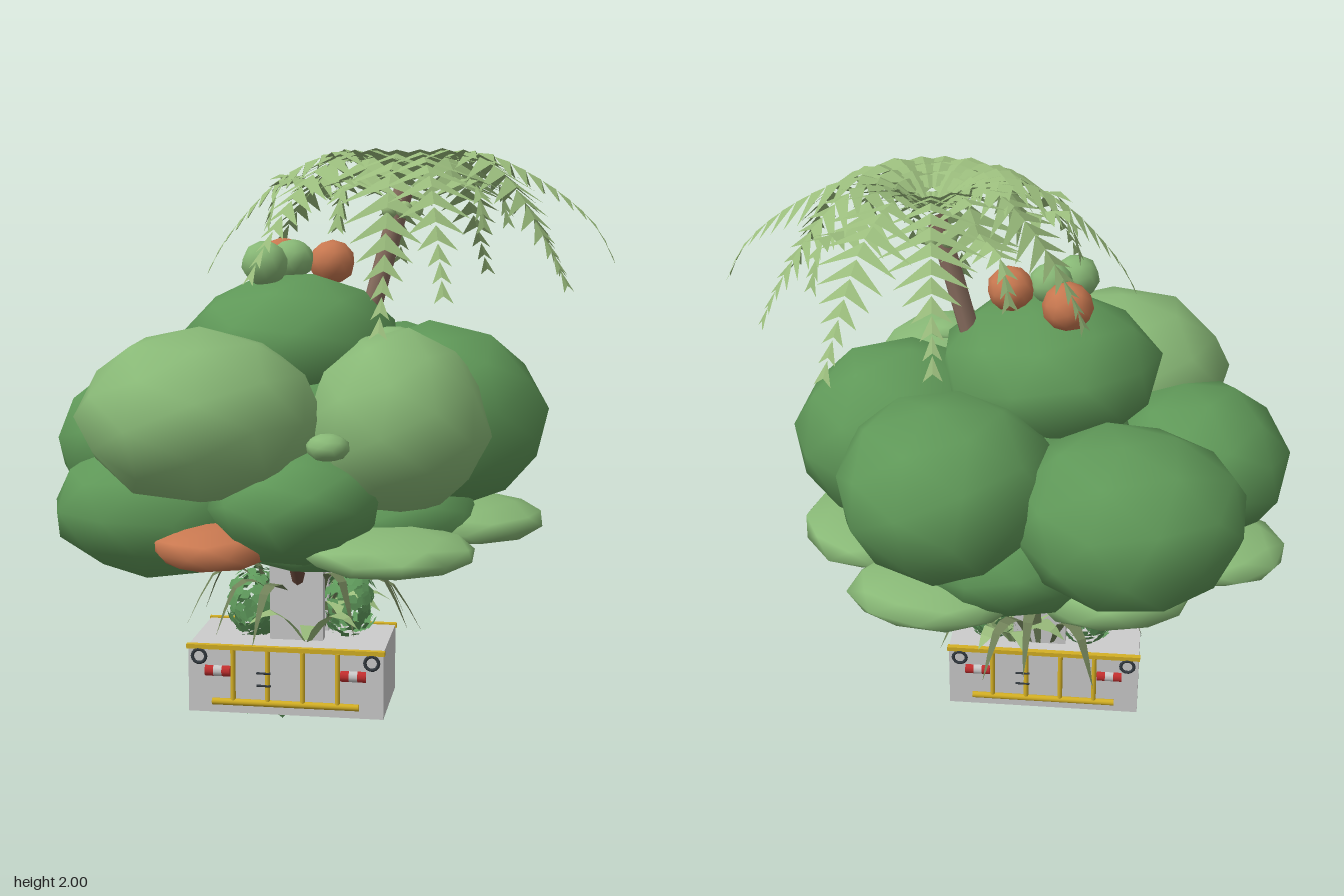
import * as THREE from 'three';
import { mergeVertices } from 'three/addons/utils/BufferGeometryUtils.js';

const V = (x, y, z) => new THREE.Vector3(x, y, z);
const mat = (color, side = THREE.FrontSide) => new THREE.MeshStandardMaterial({ color, side });

let seed = 7;
const rand = () => (seed = (seed * 16807) % 2147483647) / 2147483647;

function add(parent, name, geometry, material, x = 0, y = 0, z = 0) {
  const mesh = new THREE.Mesh(geometry, material);
  mesh.name = name;
  mesh.position.set(x, y, z);
  parent.add(mesh);
  return mesh;
}

// Smooth, slightly uneven low-poly ellipsoid
function blobGeometry(rx, ry, rz) {
  let g = new THREE.IcosahedronGeometry(1, 1);
  g.deleteAttribute('normal');
  g.deleteAttribute('uv');
  g = mergeVertices(g);
  g.rotateX(rand() * 3);
  g.rotateY(rand() * 3);
  const p = g.attributes.position;
  for (let i = 0; i < p.count; i++) {
    const s = 0.98 + rand() * 0.06;
    p.setXYZ(i, p.getX(i) * s * rx, p.getY(i) * s * ry, p.getZ(i) * s * rz);
  }
  g.computeVertexNormals();
  return g;
}

function trianglesGeometry(points) {
  const g = new THREE.BufferGeometry().setFromPoints(points);
  g.computeVertexNormals();
  return g;
}

// Pointed leaf strip along a curve
function bladeGeometry(curve, width, n = 7) {
  const tri = [];
  const edge = (t) => {
    const p = curve.getPoint(t), d = curve.getTangent(t);
    const side = V(-d.z, 0, d.x).normalize().multiplyScalar(width * Math.sin(Math.PI * (0.12 + 0.88 * t)));
    return [p.clone().add(side), p.clone().sub(side)];
  };
  for (let i = 0; i < n; i++) {
    const [a, b] = edge(i / n), [c, d] = edge((i + 1) / n);
    tri.push(a, b, c, b, d, c);
  }
  return trianglesGeometry(tri);
}

function tube(points, r, sides = 8) {
  return new THREE.TubeGeometry(new THREE.CatmullRomCurve3(points), 10, r, sides);
}

// Palm frond along +x: pairs of broad triangular leaflets, narrowing to the tip
function frondGeometry(reach, tipY) {
  const arc = new THREE.CatmullRomCurve3([V(0.02, 1.90, 0), V(0.12, 1.97, 0), V(0.24, 1.99, 0),
    V(0.62 * reach, 1.91, 0), V(0.88 * reach, tipY + 0.13, 0), V(reach, tipY, 0)]);
  const tri = [], pairs = 14;
  for (let i = 0; i < pairs; i++) {
    const t = i / pairs;
    const p = arc.getPointAt(t), d = arc.getTangentAt(t);
    const q = p.clone().addScaledVector(d, 0.055);
    const w = t < 0.4 ? 0.07 + 0.28 * t : Math.max(0.03, 0.18 - 0.37 * (t - 0.4));
    for (const s of [-1, 1]) {
      const tip = p.clone().addScaledVector(d, 0.07).add(V(0, -0.3 * w, s * w));
      tri.push(p, s > 0 ? tip : q, s > 0 ? q : tip);
    }
  }
  return trianglesGeometry(tri);
}

export function createModel() {
  const model = new THREE.Group();
  model.name = 'plantedTree';
  const M = {
    dark: mat(0x5f9858), light: mat(0x88b876), clay: mat(0xc87850), bark: mat(0x8a6f60),
    root: mat(0x6b4a3c), gold: mat(0xd4b024), grey: mat(0xcccccc), red: mat(0xc42f2f),
    black: mat(0x333a40), frond: mat(0x9abc7c, THREE.DoubleSide),
    leaf: mat(0x5f9a5c, THREE.DoubleSide), blade: mat(0x6f8058, THREE.DoubleSide),
  };

  // Canopy: [material, centre, radii]
  const canopy = new THREE.Group();
  canopy.name = 'canopy';
  model.add(canopy);
  const blobs = [
    ['light', -0.36, 1.14, 0.46, 0.40, 0.285, 0.39],
    ['light', 0.26, 1.10, 0.25, 0.31, 0.31, 0.36],
    ['dark', 0.37, 1.09, -0.04, 0.38, 0.32, 0.37],
    ['dark', 0.17, 1.09, -0.43, 0.37, 0.30, 0.38],
    ['dark', -0.43, 1.04, -0.49, 0.385, 0.29, 0.37],
    ['dark', -0.65, 1.00, 0.02, 0.32, 0.26, 0.35],
    ['dark', -0.54, 0.80, 0.24, 0.39, 0.24, 0.35],
    ['dark', -0.06, 0.86, 0.42, 0.29, 0.20, 0.30],
    ['dark', -0.13, 1.33, 0.01, 0.38, 0.26, 0.39],
    ['dark', 0.00, 1.05, 0.00, 0.45, 0.32, 0.45],
    ['dark', 0.22, 0.76, 0.08, 0.30, 0.18, 0.32],
    ['dark', -0.04, 0.85, -0.41, 0.31, 0.21, 0.29],
    ['dark', -0.05, 0.70, 0.18, 0.26, 0.12, 0.26],
    ['dark', -0.05, 0.70, -0.25, 0.24, 0.11, 0.22],
    ['light', 0.08, 1.07, 0.60, 0.07, 0.045, 0.06],
    ['light', 0.24, 1.38, 0.20, 0.08, 0.04, 0.08],
  ];
  for (const [m, x, y, z, a, b, c] of blobs) add(canopy, 'foliageClump', blobGeometry(a, b, c), M[m], x, y, z);

  // Flat shelves around the lower edge of the canopy
  const pads = [
    ['light', 0.25, 0.71, 0.44, 0.29, 0.07, 0.28], ['light', 0.46, 0.73, -0.05, 0.28, 0.075, 0.33],
    ['light', 0.20, 0.73, -0.49, 0.30, 0.08, 0.23], ['light', -0.72, 0.71, -0.08, 0.25, 0.07, 0.26],
    ['light', -0.37, 0.71, -0.37, 0.29, 0.10, 0.26], ['clay', -0.31, 0.72, 0.47, 0.21, 0.08, 0.23],
  ];
  for (const [m, x, y, z, a, b, c] of pads) add(canopy, 'foliageShelf', blobGeometry(a, b, c), M[m], x, y, z);

  // Round fruit on the crown
  const fruit = [
    ['light', -0.21, 1.62, 0.12, 0.08], ['light', -0.13, 1.63, 0.03, 0.075],
    ['clay', 0, 1.62, -0.01, 0.08], ['clay', -0.20, 1.62, -0.15, 0.085],
  ];
  for (const [m, x, y, z, r] of fruit) add(canopy, 'crownFruit', blobGeometry(r, r * 0.95, r), M[m], x, y, z);

  // Palm
  const palm = new THREE.Group();
  palm.name = 'palm';
  model.add(palm);
  add(palm, 'palmTrunk', tube([V(0.11, 1.35, -0.02), V(0.17, 1.58, -0.02), V(0.25, 1.88, -0.02)], 0.034), M.bark);
  for (let i = 0; i < 5; i++) {
    const a = i * Math.PI * 0.4;
    add(palm, 'coconut', new THREE.SphereGeometry(0.03, 8, 6), M.frond, 0.24 + 0.045 * Math.cos(a), 1.8, -0.02 + 0.045 * Math.sin(a));
  }
  // Fronds: [angle from +x towards +z in degrees, reach, tip height]
  const fronds = [
    [0, 0.70, 1.64], [32, 0.65, 1.56], [75, 0.70, 1.54], [92, 0.64, 1.42], [133, 0.67, 1.58],
    [170, 0.68, 1.6], [206, 0.58, 1.6], [262, 0.69, 1.6], [290, 0.71, 1.56], [333, 0.59, 1.58],
    [54, 0.48, 1.76], [112, 0.48, 1.76], [152, 0.50, 1.76], [188, 0.50, 1.78], [235, 0.52, 1.74], [311, 0.50, 1.76],
  ];
  for (const [angle, reach, tipY] of fronds) {
    add(palm, 'palmFrond', frondGeometry(reach, tipY), M.frond, 0.26, 0, -0.02).rotation.y = -angle * Math.PI / 180;
  }

  // Planter box
  const planter = new THREE.Group();
  planter.name = 'planter';
  planter.position.set(-0.135, 0, 0);
  model.add(planter);
  add(planter, 'planterBox', new THREE.BoxGeometry(0.69, 0.24, 0.37), M.grey, 0, 0.17, 0);
  add(planter, 'baseStrip', new THREE.BoxGeometry(0.55, 0.006, 0.012), M.black, 0, 0.048, -0.14);

  // Rails and fittings, same on the front and the back
  for (const turn of [0, Math.PI]) {
    const face = new THREE.Group();
    face.name = 'planterFittings';
    face.rotation.y = turn;
    planter.add(face);
    const rail = (name, len, r, x, y, z, m, across) => {
      const mesh = add(face, name, new THREE.CylinderGeometry(r, r, len, 10), m, x, y, z);
      if (across) mesh.rotation.z = Math.PI / 2;
    };
    add(face, 'topRail', new THREE.BoxGeometry(0.70, 0.016, 0.02), M.gold, 0, 0.287, 0.185);
    rail('bottomRail', 0.52, 0.012, 0, 0.09, 0.188, M.gold, true);
    for (const x of [-0.185, -0.062, 0.062, 0.185]) rail('uprightBar', 0.19, 0.009, x, 0.185, 0.188, M.gold);
    for (const s of [-1, 1]) {
      [M.red, M.grey, M.red].forEach((m, i) => rail('lampBand', 0.03, 0.021, s * 0.24 + (i - 1) * 0.03, 0.2, 0.178, m, true));
      add(face, 'ring', new THREE.TorusGeometry(0.024, 0.006, 6, 14), M.black, s * 0.305, 0.253, 0.193);
    }
    for (const y of [0.155, 0.2]) rail('hook', 0.05, 0.004, -0.075, y, 0.195, M.black, true);
  }

  // Concrete column and the branches growing out of it
  add(model, 'columnFlange', new THREE.BoxGeometry(0.19, 0.35, 0.05), M.grey, -0.115, 0.42, 0.045);
  add(model, 'columnFlange', new THREE.BoxGeometry(0.19, 0.35, 0.06), M.grey, -0.115, 0.42, -0.095);
  add(model, 'columnWeb', new THREE.BoxGeometry(0.06, 0.35, 0.1), M.grey, -0.115, 0.42, -0.02);
  const branches = [
    [V(-0.11, 0.48, 0.03), V(-0.11, 0.55, 0.085), V(-0.12, 0.70, 0.19)],
    [V(-0.1, 0.48, -0.04), V(-0.02, 0.56, -0.04), V(0.08, 0.72, -0.06)],
  ];
  for (const b of branches) add(model, 'branch', tube(b, 0.026), M.root);

  // Arching blades over the planter
  for (let i = 0; i < 11; i++) {
    const a = i * 2.4, len = 0.26 + rand() * 0.17, up = 0.14 + rand() * 0.1;
    const at = (k, y) => V(-0.12 + Math.cos(a) * (0.09 + len * k), y, -0.07 + Math.sin(a) * (0.07 + len * k * 0.8));
    const curve = new THREE.CatmullRomCurve3([at(0, 0.3), at(0.3, 0.3 + up), at(0.65, 0.31 + up), at(1, 0.2 + up * 0.6)]);
    add(model, 'archingBlade', bladeGeometry(curve, 0.024), M.blade);
  }

  // Broad-leaved rosettes: [x, z, leaf count]
  for (const [x, z, n] of [[-0.02, -0.13, 8], [-0.07, 0.11, 3]]) {
    for (let i = 0; i < n; i++) {
      const a = i * Math.PI * 2 / n + 0.5;
      const at = (r, y) => V(x + Math.cos(a) * r, y, z + Math.sin(a) * r);
      const curve = new THREE.CatmullRomCurve3([at(0.01, 0.3), at(0.07, 0.38), at(0.14, 0.42), at(0.22, 0.38)]);
      add(model, 'broadLeaf', bladeGeometry(curve, 0.042, 5), M.frond);
    }
  }

  // Leafy bushes, and stray leaves below the box: [name, count, centre, radii]
  const bushes = [
    ['bush', 240, -0.28, 0.39, -0.04, 0.11, 0.14, 0.11],
    ['bush', 200, 0.06, 0.40, -0.06, 0.10, 0.14, 0.10],
    ['strayLeaves', 24, -0.12, 0.03, 0, 0.26, 0.02, 0.10],
  ];
  for (const [name, count, x, y, z, a, b, c] of bushes) {
    const tri = [];
    for (let i = 0; i < count; i++) {
      const d = V(rand() - 0.5, rand() - 0.5, rand() - 0.5).normalize();
      const k = 0.75 + 0.25 * rand(), spin = rand() * 6.28;
      const p = V(x + d.x * a * k, y + d.y * b * k, z + d.z * c * k);
      const u = V(d.z, 0.3, -d.x).cross(d).normalize().applyAxisAngle(d, spin);
      const v = d.clone().cross(u);
      const corner = (s, t) => p.clone().addScaledVector(u, s).addScaledVector(v, t);
      const l = corner(0, 0.018), r = corner(0, -0.018);
      tri.push(corner(-0.024, 0), r, l, l, r, corner(0.028, 0));
    }
    for (const p of tri) p.y = Math.max(0, p.y);
    add(model, name, trianglesGeometry(tri), M.leaf);
  }
  return model;
}
